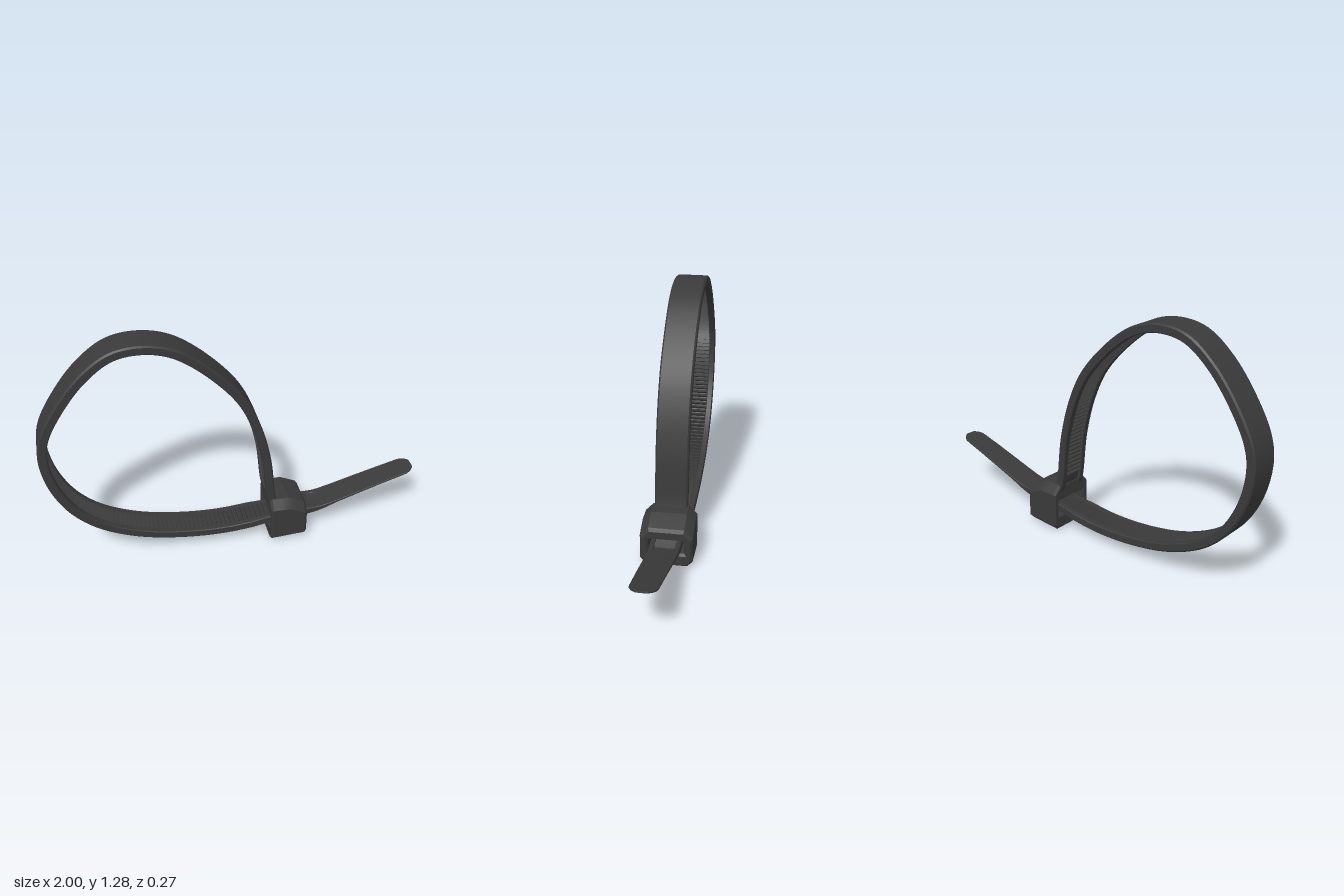
import * as THREE from 'three';
import { mergeGeometries, toCreasedNormals } from 'three/addons/utils/BufferGeometryUtils.js';

const black = new THREE.MeshStandardMaterial({ color: 0x3a3a3a });
black.name = 'black nylon';

// Centreline of the strap: out of the head, round the loop, through the head, to the tip
const path = new THREE.CatmullRomCurve3([
  [0.195, 0.225], [0.178, 0.29], [0.147, 0.54], [0.085, 0.765], [-0.008, 0.945],
  [-0.213, 1.155], [-0.345, 1.233], [-0.48, 1.257], [-0.61, 1.234], [-0.75, 1.131],
  [-0.88, 0.967], [-0.957, 0.823], [-0.977, 0.71], [-0.95, 0.543], [-0.87, 0.379],
  [-0.75, 0.258], [-0.568, 0.165], [-0.358, 0.113], [-0.096, 0.092], [0.176, 0.115],
  [0.37, 0.135], [0.46, 0.146], [0.57, 0.182], [0.78, 0.249], [0.998, 0.315],
].map(([x, y]) => new THREE.Vector3(x, y, 0)), false, 'centripetal');
path.arcLengthDivisions = 1000;

const ramp = (x, x0, x1, a, b) => THREE.MathUtils.mapLinear(THREE.MathUtils.clamp(x, x0, x1), x0, x1, a, b);

// Position, inward normal and section sizes at a fraction u of the strap
function station(u) {
  const p = path.getPointAt(u), t = path.getTangentAt(u);
  const n = new THREE.Vector3(-t.y, t.x, 0);
  let h = 0.023, w = 0.085, groove = 0.012;
  if (u > 0.6) {
    w = p.x < 0.2 ? ramp(p.x, 0.08, 0.2, 0.085, 0.074) : ramp(p.x, 0.37, 0.95, 0.078, 0.066);
    if (p.x > 0.38) h = p.x < 0.56 ? ramp(p.x, 0.38, 0.56, 0.023, 0.008) : ramp(p.x, 0.56, 1, 0.008, 0.005);
    groove = ramp(p.x, 0.4, 0.48, 0.012, 0);
    // rounded tip
    if (p.x > 0.945) w *= Math.sqrt(Math.max(0.2, 1 - ((p.x - 0.945) / 0.055) ** 2));
  }
  return { p, t, n, h, w, groove };
}

// Swept strap with side rails and a toothed channel on the inner face
function strapGeometry() {
  const pos = [], index = [], N = 210, K = 12;
  for (let i = 0; i <= N; i++) {
    const { p, n, h, w, groove } = station(i / N);
    const c = Math.min(0.008, h * 0.5), r = Math.min(0.055, w * 0.7);
    const half = [[-h, c - w], [c - h, -w], [h - c / 2, -w], [h, c / 2 - w], [h, -r], [h - groove, 0.004 - r]];
    const ring = [...half, ...half.map(([a, z]) => [a, -z]).reverse()];
    for (const [a, z] of ring) pos.push(p.x + n.x * a, p.y + n.y * a, z);
    if (i === N) continue;
    for (let j = 0; j < K; j++) {
      const a = i * K + j, b = i * K + (j + 1) % K;
      index.push(a, b, b + K, a, b + K, a + K);
    }
  }
  // end caps
  for (let j = 1; j < K - 1; j++) {
    index.push(0, j + 1, j);
    index.push(N * K, N * K + j, N * K + j + 1);
  }
  const g = new THREE.BufferGeometry();
  g.setAttribute('position', new THREE.Float32BufferAttribute(pos, 3));
  g.setIndex(index);
  return toCreasedNormals(g, 0.5);
}

// Saw teeth spaced along the channel
function teethGeometry() {
  const profile = new THREE.Shape([
    new THREE.Vector2(-0.011, -0.002), new THREE.Vector2(0.011, -0.002), new THREE.Vector2(0.005, 0.015),
  ]);
  const tooth = new THREE.ExtrudeGeometry(profile, { depth: 0.104, bevelEnabled: false });
  tooth.translate(0, 0, -0.052);
  const z = new THREE.Vector3(0, 0, 1), teeth = [];
  const count = Math.round(path.getLength() / 0.025);
  for (let i = 4; i < count; i++) {
    const { p, t, n, h, groove } = station(i / count);
    if (p.x > 0.42) break;
    const m = new THREE.Matrix4().makeBasis(t, n, z);
    m.setPosition(p.clone().addScaledVector(n, h - groove));
    teeth.push(tooth.clone().applyMatrix4(m));
  }
  return mergeGeometries(teeth);
}

// Locking head: chamfered block with a slot along x and a sloping top
function headGeometry() {
  const v = (x, y) => new THREE.Vector2(x, y);
  const shape = new THREE.Shape([
    v(-0.105, 0.004), v(0.105, 0.004), v(0.135, 0.034), v(0.135, 0.222),
    v(0.092, 0.268), v(-0.092, 0.268), v(-0.135, 0.222), v(-0.135, 0.034),
  ]);
  shape.holes.push(new THREE.Path([v(-0.092, 0.09), v(-0.092, 0.175), v(0.092, 0.175), v(0.092, 0.09)]));
  const g = new THREE.ExtrudeGeometry(shape, {
    depth: 0.176, steps: 4, bevelSize: 0.012, bevelThickness: 0.012, bevelOffset: -0.012, bevelSegments: 1,
  });
  g.rotateY(Math.PI / 2);
  g.translate(0.182, 0, 0);
  const p = g.attributes.position;
  for (let i = 0; i < p.count; i++) {
    const x = p.getX(i), y = p.getY(i);
    if (y > 0.2) p.setY(i, y - Math.max(0, x - 0.273) * 0.47);
    if (y < 0.05) p.setY(i, y + (x - 0.17) * 0.06);
  }
  return toCreasedNormals(g, 0.4);
}

export function createModel() {
  const group = new THREE.Group();
  group.name = 'cableTie';
  const add = (name, geometry) => {
    const mesh = new THREE.Mesh(geometry, black);
    mesh.name = name;
    group.add(mesh);
    return mesh;
  };
  add('strap', strapGeometry());
  add('teeth', teethGeometry());
  add('head', headGeometry());
  // locking tongue inside the slot
  const pawl = add('pawl', new THREE.BoxGeometry(0.08, 0.03, 0.1));
  pawl.position.set(0.27, 0.168, 0);
  pawl.rotation.z = -0.15;
  return group;
}
